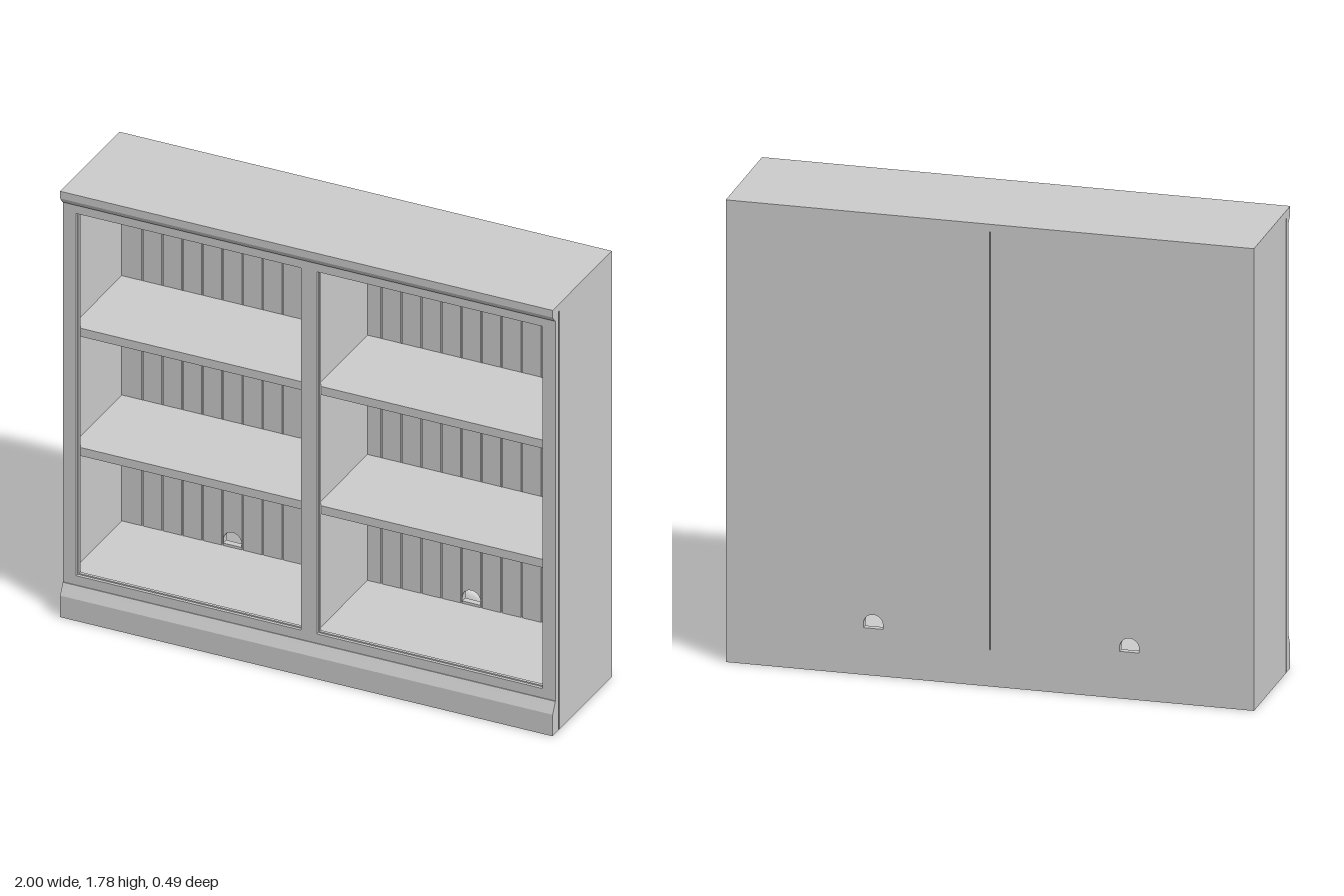
import * as THREE from 'three';

const material = new THREE.MeshStandardMaterial({ color: 0xcccccc });

export function createModel() {
  const model = new THREE.Group();
  model.name = 'bookcase';

  const add = (name, geometry) => {
    const mesh = new THREE.Mesh(geometry, material);
    mesh.name = name;
    model.add(mesh);
    return mesh;
  };
  // Box given by its limits on each axis
  const box = (name, x0, x1, y0, y1, z0, z1) =>
    add(name, new THREE.BoxGeometry(x1 - x0, y1 - y0, z1 - z0)
      .translate((x0 + x1) / 2, (y0 + y1) / 2, (z0 + z1) / 2));
  const rect = (x0, x1, y0, y1, Type = THREE.Shape) => new Type([
    new THREE.Vector2(x0, y0), new THREE.Vector2(x1, y0),
    new THREE.Vector2(x1, y1), new THREE.Vector2(x0, y1)]);
  // Flat board cut from a front-facing outline
  const board = (name, shape, z0, z1) =>
    add(name, new THREE.ExtrudeGeometry(shape, { depth: z1 - z0, bevelEnabled: false, curveSegments: 16 })
      .translate(0, 0, z0));
  // Moulding: a [z, y] profile run across the full width
  const moulding = (name, points) => {
    const shape = new THREE.Shape(points.map(([z, y]) => new THREE.Vector2(z, y)));
    add(name, new THREE.ExtrudeGeometry(shape, { depth: 2, bevelEnabled: false })
      .rotateY(-Math.PI / 2).translate(1, 0, 0));
  };
  // Round-topped cable opening
  const cableHole = (cx) => {
    const r = 0.037, path = new THREE.Path();
    path.moveTo(cx - r, 0.182);
    path.lineTo(cx + r, 0.182);
    path.lineTo(cx + r, 0.198);
    path.absarc(cx, 0.198, r, 0, Math.PI, false);
    path.closePath();
    return path;
  };

  // Carcass
  for (const s of [-1, 1]) {
    const side = s < 0 ? 'rightSide' : 'leftSide';
    box(side, Math.min(s, s * 0.978), Math.max(s, s * 0.978), 0, 1.755, -0.245, 0.19);
    box(side + 'Joint', Math.min(s * 0.994, s * 0.978), Math.max(s * 0.994, s * 0.978), 0, 1.755, 0.19, 0.196);
  }
  box('divider', -0.02, 0.02, 0.172, 1.755, -0.22, 0.196);
  box('topBoard', -1, 1, 1.755, 1.785, -0.245, 0.215);
  box('floor', -0.978, 0.978, 0.14, 0.172, -0.224, 0.196);
  box('bottomBoard', -0.978, 0.978, 0.003, 0.025, -0.224, 0.196);
  box('backRail', -0.978, 0.978, 0, 0.14, -0.245, -0.224);

  // Shelves in both bays
  for (const [x0, x1] of [[-0.978, -0.02], [0.02, 0.978]]) {
    for (const y of [0.665, 1.165]) {
      box('shelf', x0, x1, y, y + 0.035, -0.22, 0.17);
      box('shelfEdge', x0, x1, y, y + 0.035, 0.17, 0.195);
    }
  }

  // Back panels with grooved planks on the inside
  const pitch = 0.0815, gap = 0.003;
  for (const [x0, x1, shift] of [[-0.978, -0.002, 0], [0.002, 0.978, 0.97]]) {
    const first = -0.895 + shift;
    const holeX = first + 4.5 * pitch;
    const panel = rect(x0, x1, 0.14, 1.755);
    panel.holes.push(cableHole(holeX));
    board('backPanel', panel, -0.245, -0.226);
    for (let i = 0; i <= 11; i++) {
      const left = i === 0 ? x0 : first + (i - 1) * pitch + gap;
      const right = i === 11 ? x1 : first + i * pitch - gap;
      const plank = rect(left, right, 0.172, 1.755);
      if (i === 5) plank.holes.push(cableHole(holeX));
      board('backPlank', plank, -0.226, -0.22);
    }
  }

  // Face frame, with a slim bead around each opening
  const frame = (name, inset, z0, z1) => {
    const shape = rect(-1, 1, 0, 1.755);
    for (const [x0, x1] of [[-0.947, -0.035], [0.03, 0.947]]) {
      shape.holes.push(rect(x0 + inset, x1 - inset, 0.174 + inset, 1.692 - inset, THREE.Path));
    }
    board(name, shape, z0, z1);
  };
  frame('faceFrame', 0, 0.208, 0.22);
  frame('frameBead', 0.005, 0.196, 0.208);

  // Crown and plinth
  moulding('crownMoulding', [[0.215, 1.73], [0.226, 1.73], [0.23, 1.735], [0.241, 1.748],
    [0.245, 1.755], [0.245, 1.785], [0.215, 1.785]]);
  moulding('plinth', [[0.218, 0], [0.245, 0], [0.245, 0.09], [0.23, 0.12], [0.223, 0.135], [0.218, 0.135]]);

  return model;
}
